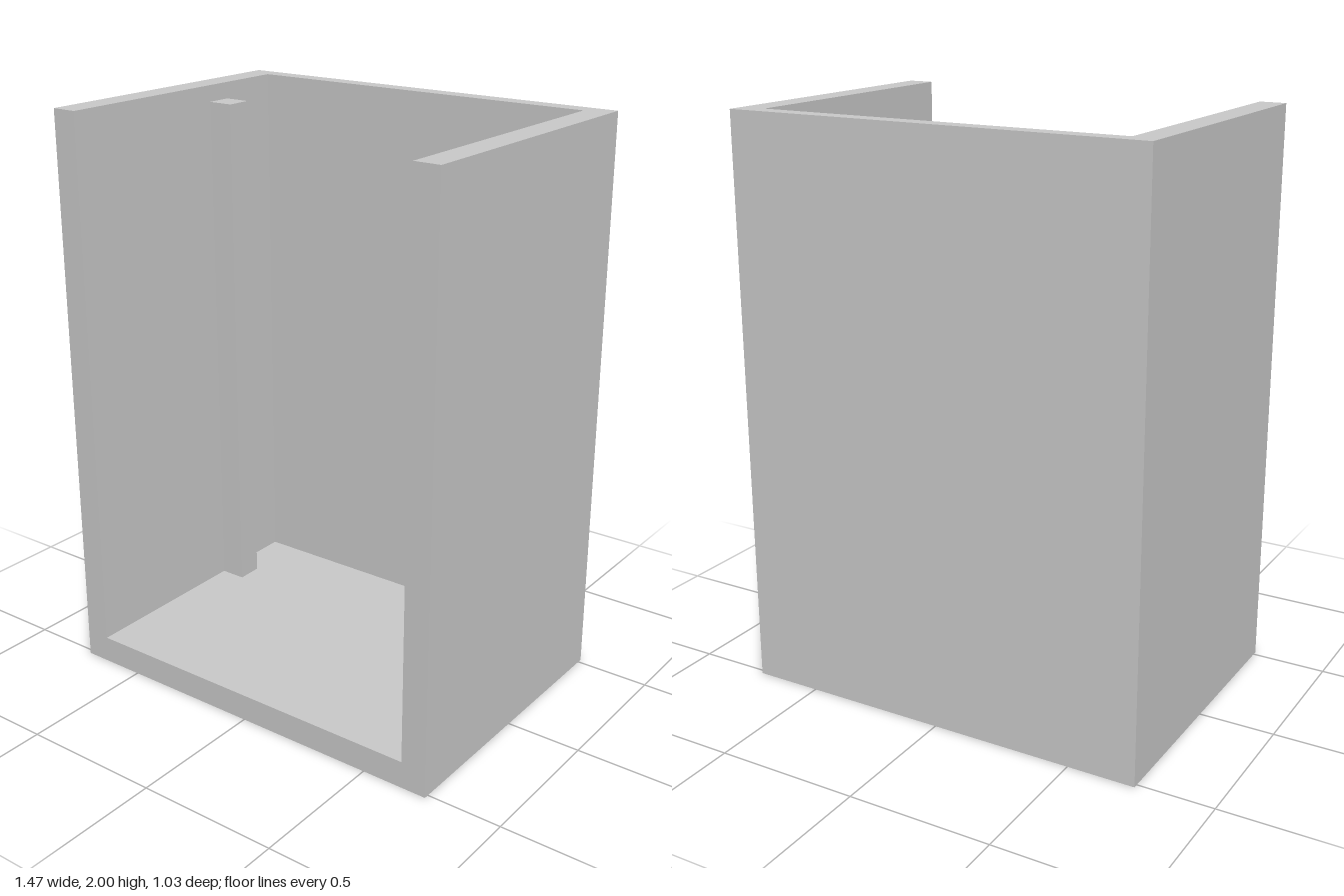
import * as THREE from 'three';

const W = 0.737, H = 2, D = 0.517;               // outer half width, height, half depth
const innerX = 0.646, floorY = 0.095, backZ = -0.457;

export function createModel() {
  const group = new THREE.Group();
  const material = new THREE.MeshStandardMaterial({ color: 0xcccccc, flatShading: true });

  const add = (name, geometry) => {
    const mesh = new THREE.Mesh(geometry, material);
    mesh.name = name;
    group.add(mesh);
    return mesh;
  };

  // Box given by its minimum and maximum corners
  const addBox = (name, [x0, y0, z0], [x1, y1, z1]) =>
    add(name, new THREE.BoxGeometry(x1 - x0, y1 - y0, z1 - z0))
      .position.set((x0 + x1) / 2, (y0 + y1) / 2, (z0 + z1) / 2);

  // Side walls and floor as one U-shaped profile, open at the front and top
  const profile = new THREE.Shape([
    [-W, 0], [W, 0], [W, H], [innerX, H],
    [innerX, floorY], [-innerX, floorY], [-innerX, H], [-W, H],
  ].map(([x, y]) => new THREE.Vector2(x, y)));
  add('wallsAndFloor', new THREE.ExtrudeGeometry(profile, { depth: D - backZ, bevelEnabled: false }))
    .position.z = backZ;

  // Back wall
  addBox('backWall', [-W, 0, -D], [W, H, backZ]);

  // Upright rail on the inside of each side wall, a little short of the top
  addBox('leftRail', [0.553, floorY, -0.227], [innerX, 1.942, -0.135]);
  addBox('rightRail', [-innerX, floorY, -0.227], [-0.553, 1.942, -0.135]);

  return group;
}
